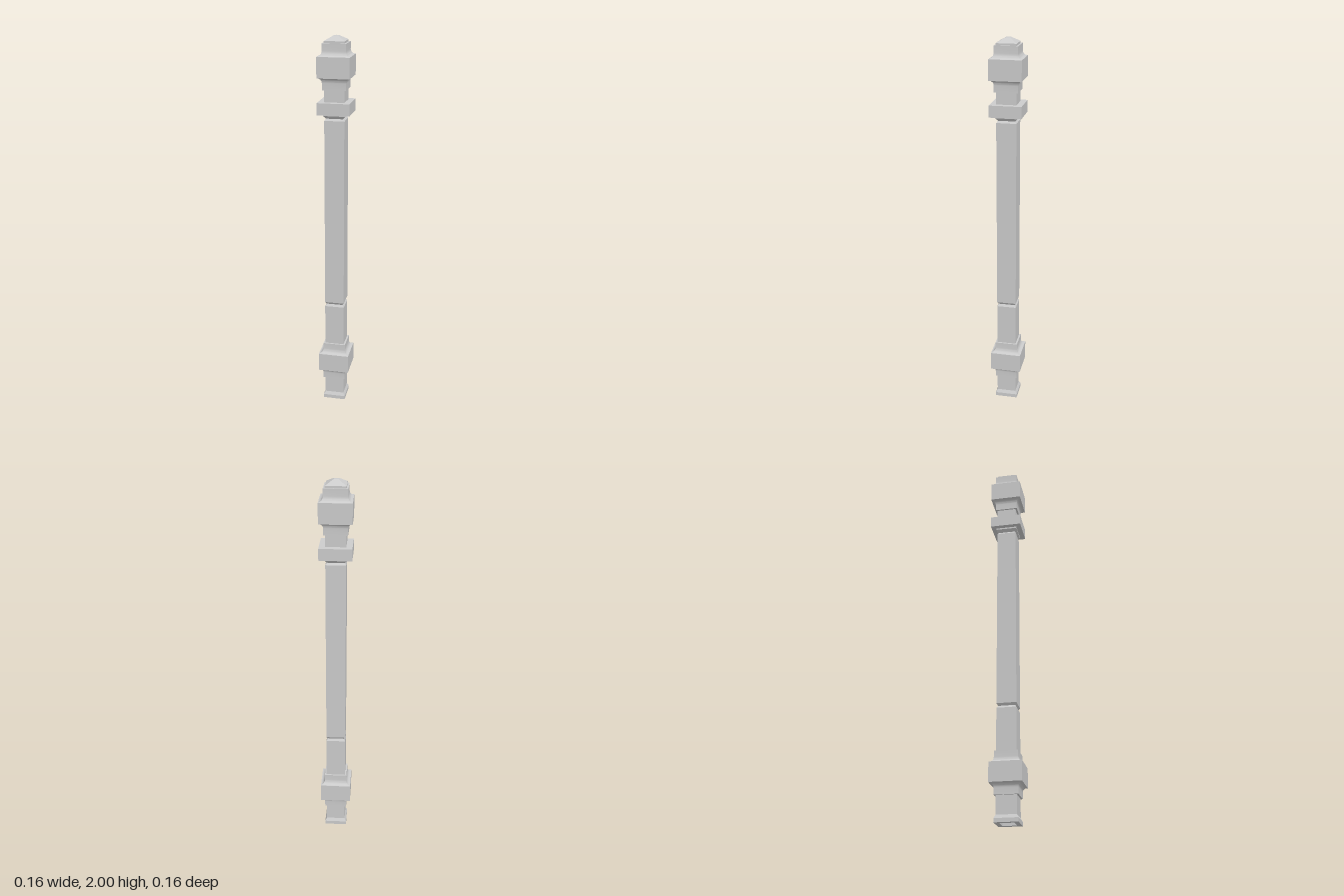
import * as THREE from 'three';
import { toCreasedNormals } from 'three/addons/utils/BufferGeometryUtils.js';

const material = new THREE.MeshStandardMaterial({ color: 0xcccccc });

// Square turned part: profile of [half width, height], bottom to top, closed at both ends
function squarePart(name, profile) {
  const closed = [[0, profile[0][1]], ...profile, [0, profile[profile.length - 1][1]]];
  const points = closed.map(([r, y]) => new THREE.Vector2(r * Math.SQRT2, y));
  const geometry = new THREE.LatheGeometry(points, 4, Math.PI / 4);
  const mesh = new THREE.Mesh(toCreasedNormals(geometry, 0.35), material);
  mesh.name = name;
  return mesh;
}

// Concave quarter curve between a neck and a block edge, listed bottom to top
function cove(neck, neckY, block, blockY, steps = 6) {
  const points = [];
  for (let i = 0; i <= steps; i++) {
    const a = (i / steps) * Math.PI / 2;
    points.push([block - (block - neck) * Math.cos(a), neckY + (blockY - neckY) * Math.sin(a)]);
  }
  return neckY < blockY ? points : points.reverse();
}

// Wide block with a coved collar below and above it
function collarBlock(name, y, bottom, top, end) {
  return squarePart(name, [
    [0.06, y],
    ...cove(0.06, bottom - 0.025, 0.082, bottom),
    ...cove(0.06, top + 0.027, 0.082, top),
    [0.06, end],
  ]);
}

export function createModel() {
  const post = new THREE.Group();
  post.name = 'post';

  post.add(
    // Foot with a recessed underside
    squarePart('foot', [
      [0.036, 0.02], [0.036, 0], [0.06, 0], [0.06, 0.02], [0.051, 0.037], [0.051, 0.13],
    ]),
    collarBlock('lowerBlock', 0.13, 0.187, 0.287, 0.345),
    // Lower shaft ending in a narrow groove
    squarePart('lowerShaft', [
      [0.051, 0.345], [0.051, 0.568], [0.043, 0.58],
    ]),
    // Long main shaft with chamfered ends
    squarePart('mainShaft', [
      [0.043, 0.58], [0.051, 0.592], [0.051, 1.587], [0.043, 1.597],
    ]),
    // Flat slab on a small flared throat
    squarePart('slab', [
      [0.043, 1.597], [0.056, 1.612], [0.056, 1.62], [0.082, 1.62], [0.082, 1.68],
    ]),
    squarePart('neck', [[0.051, 1.68], [0.051, 1.74]]),
    collarBlock('upperBlock', 1.74, 1.8, 1.903, 1.965),
    // Shallow pyramid cap with a blunt tip
    squarePart('cap', [
      [0.051, 1.965], [0.051, 1.975], [0.012, 1.998], [0, 2],
    ]),
  );
  return post;
}
